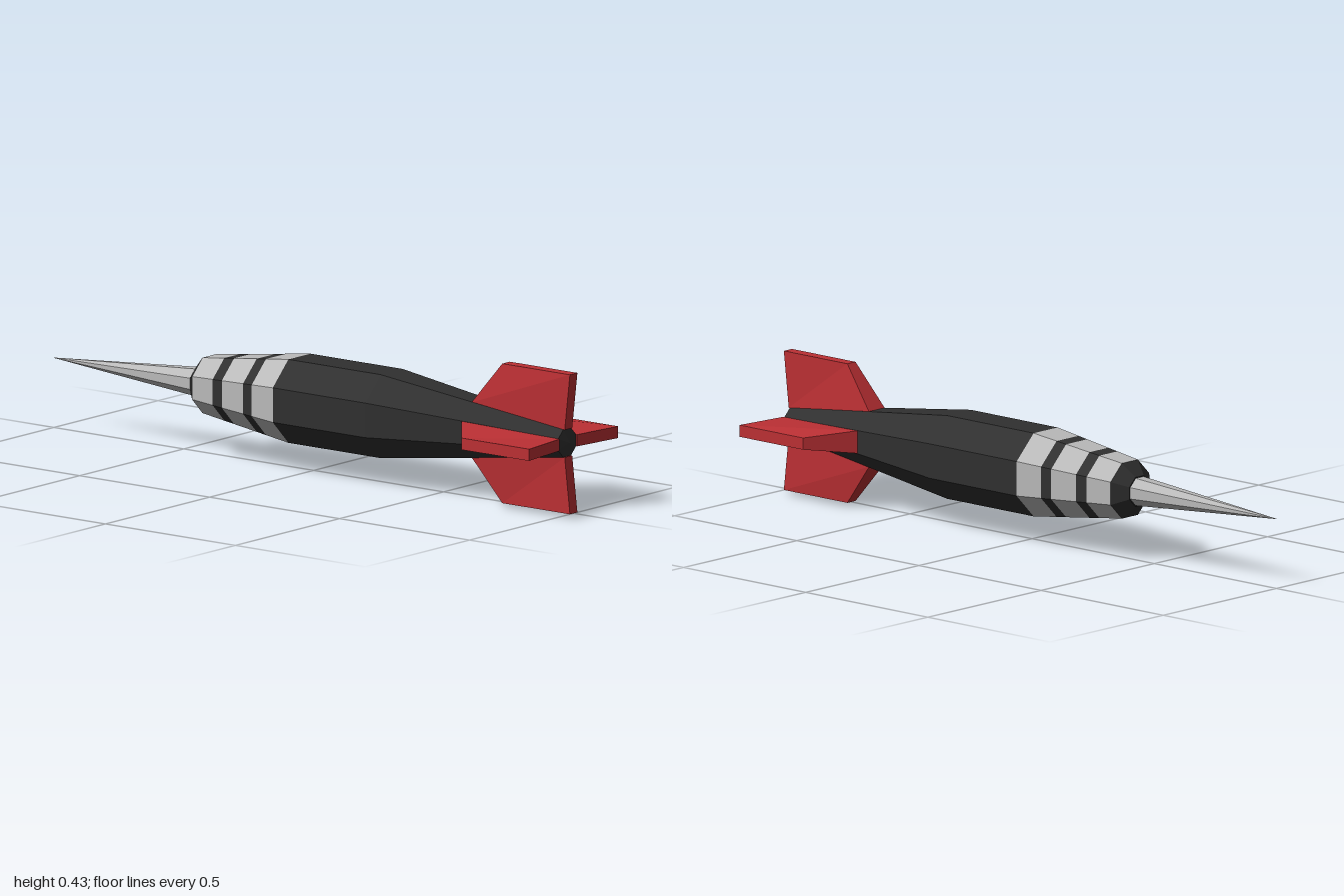
import * as THREE from 'three';

const AXIS_Y = 0.214;
const CORNER = 1 / Math.cos(Math.PI / 8); // flat radius to corner radius

export function createModel() {
  const mat = (name, color, flatShading = true) => {
    const m = new THREE.MeshStandardMaterial({ color, flatShading });
    m.name = name;
    return m;
  };
  const dark = mat('charcoal', 0x303030);
  const light = mat('lightGrey', 0xbababa);
  const red = mat('finRed', 0xbc3034);

  const dart = new THREE.Group();
  dart.name = 'dart';
  dart.position.y = AXIS_Y;

  // Eight-sided band along z, with flats facing up, down, left and right
  function band(name, z0, r0, z1, r1, material) {
    const g = new THREE.CylinderGeometry(r1 * CORNER, r0 * CORNER, z1 - z0, 8, 1, true);
    g.rotateY(Math.PI / 8).rotateX(Math.PI / 2).translate(0, 0, (z0 + z1) / 2);
    const mesh = new THREE.Mesh(g, material);
    mesh.name = name;
    dart.add(mesh);
  }

  // Needle point
  band('needle', -1, 0.0005, -0.44, 0.042, light);

  // Striped, tapering nose
  band('noseFace', -0.441, 0.0001, -0.44, 0.045, dark);
  band('noseBevel', -0.44, 0.045, -0.4, 0.085, dark);
  const noseRadius = z => THREE.MathUtils.mapLinear(z, -0.4, -0.055, 0.085, 0.128);
  const stripes = [-0.4, -0.312, -0.273, -0.182, -0.145, -0.055];
  for (let i = 0; i < stripes.length - 1; i++) {
    const [a, b] = [stripes[i], stripes[i + 1]];
    band('noseStripe', a, noseRadius(a), b, noseRadius(b), i % 2 ? dark : light);
  }

  // Barrel, tapered tail and end cap
  band('barrel', -0.055, 0.128, 0.3, 0.128, dark);
  band('tail', 0.3, 0.128, 0.975, 0.043, dark);
  band('tailCap', 0.975, 0.043, 0.985, 0.0001, dark);

  // Swept fins: a box whose corners are moved to the root and tip outlines
  const finGeometry = new THREE.BoxGeometry(1, 1, 1);
  const p = finGeometry.attributes.position;
  for (let i = 0; i < p.count; i++) {
    const tip = p.getY(i) > 0;
    const rear = p.getZ(i) > 0;
    const halfWidth = !tip && !rear ? 0.035 : 0.018;
    const y = tip ? 0.214 : rear ? 0.042 : 0.084;
    const z = tip ? (rear ? 1 : 0.74) : (rear ? 0.98 : 0.635);
    p.setXYZ(i, Math.sign(p.getX(i)) * halfWidth, y, z);
  }
  finGeometry.computeVertexNormals();
  for (let i = 0; i < 4; i++) {
    const fin = new THREE.Mesh(finGeometry, red);
    fin.name = 'fin';
    fin.rotation.z = (i * Math.PI) / 2;
    dart.add(fin);
  }

  const model = new THREE.Group();
  model.name = 'dartModel';
  model.add(dart);
  return model;
}
